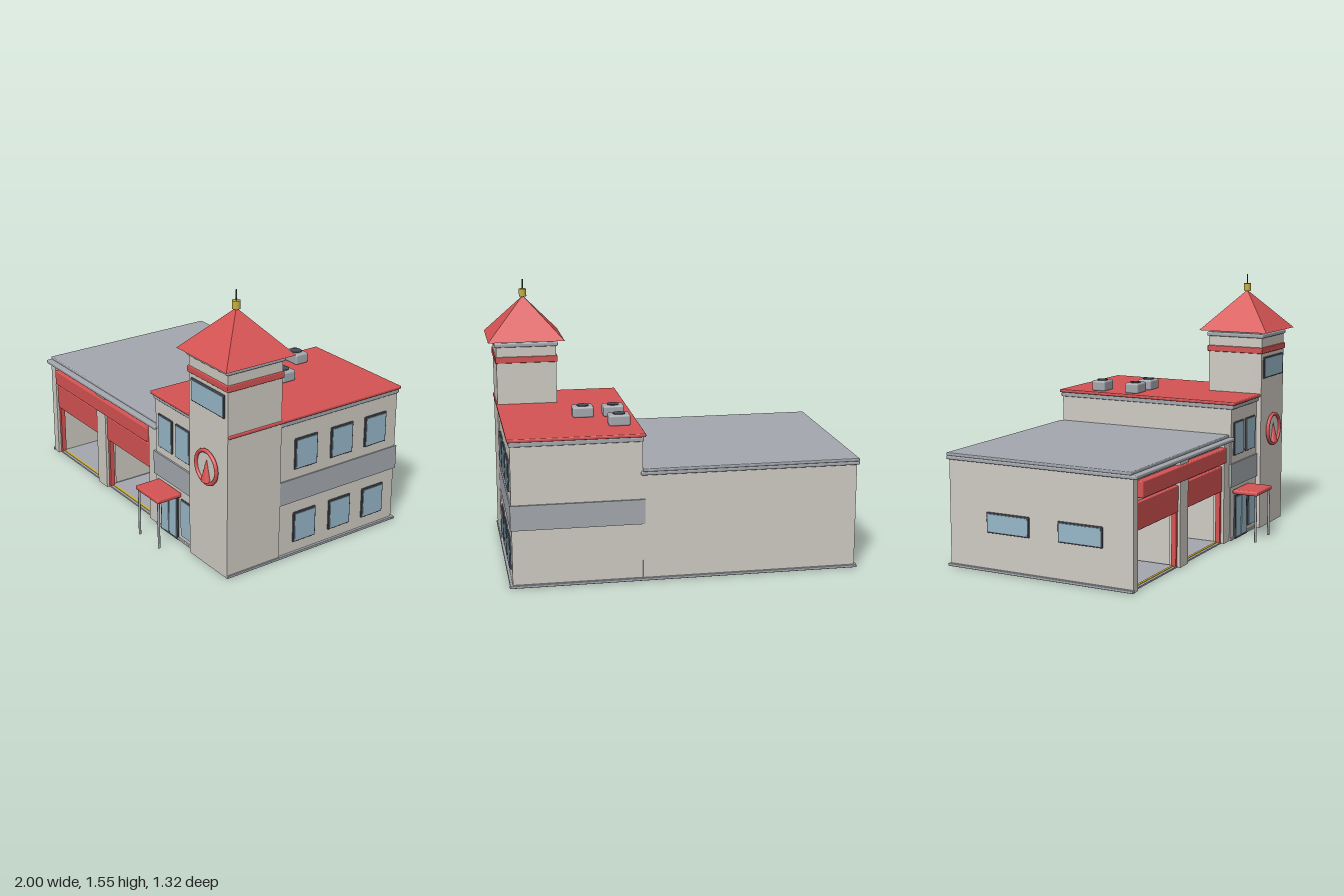
import * as THREE from 'three';
import { RoundedBoxGeometry } from 'three/addons/geometries/RoundedBoxGeometry.js';

const paint = (name, color) => {
  const m = new THREE.MeshStandardMaterial({ color });
  m.name = name;
  return m;
};

export function createModel() {
  const root = new THREE.Group();
  root.name = 'fireStation';
  const wall = paint('warm plaster', 0xd0ccc4);
  const red = paint('red', 0xd65353);
  const grey = paint('grey', 0xa5a9af);
  const glass = paint('glass', 0x98b9ca);
  const dark = paint('dark frame', 0x4b4e58);
  const gold = paint('gold', 0xc4ae45);
  const yellow = paint('floor yellow', 0xd8b428);

  const add = (name, geo, mat, x = 0, y = 0, z = 0, parent = root) => {
    const m = new THREE.Mesh(geo, mat);
    m.name = name;
    m.position.set(x, y, z);
    parent.add(m);
    return m;
  };
  // Box given by its bounds; a radius above zero softens the edges
  const box = (name, mat, x0, x1, y0, y1, z0, z1, r = 0, parent = root) => {
    const s = [x1 - x0, y1 - y0, z1 - z0];
    const geo = r ? new RoundedBoxGeometry(...s, 2, r) : new THREE.BoxGeometry(...s);
    return add(name, geo, mat, (x0 + x1) / 2, (y0 + y1) / 2, (z0 + z1) / 2, parent);
  };
  // Framed pane facing +z, turned by ry
  const windowAt = (name, x, y, z, w, h, ry = 0, rim = 0.009) => {
    const g = new THREE.Group();
    g.name = name;
    g.position.set(x, y, z);
    g.rotation.y = ry;
    box(name + 'Frame', dark, -w / 2, w / 2, -h / 2, h / 2, -0.01, 0.008, 0.004, g);
    box(name + 'Glass', glass, -w / 2 + rim, w / 2 - rim, -h / 2 + rim, h / 2 - rim, 0.004, 0.011, 0, g);
    root.add(g);
  };

  // Garage shell, open at the front
  box('garageLeftWall', wall, -0.985, -0.93, 0, 0.605, -0.645, 0.47);
  box('garageRightWall', wall, 0.15, 0.225, 0, 0.605, -0.645, 0.47);
  box('garageBackWall', wall, -0.985, 0.225, 0, 0.605, -0.648, -0.61);
  box('garagePartition', wall, -0.42, -0.36, 0, 0.605, -0.61, 0.47);
  box('garageLintel', wall, -0.985, 0.225, 0.44, 0.605, 0.42, 0.465);
  [[-0.985, -0.935], [-0.44, -0.34], [0.14, 0.225]].forEach(([a, b]) =>
    box('garagePillar', wall, a, b, 0, 0.605, 0.43, 0.495));
  box('garageCornice', grey, -1, 0.235, 0.602, 0.624, -0.66, 0.52, 0.007);
  box('garageRoof', grey, -0.997, 0.225, 0.622, 0.64, -0.66, 0.488, 0.005);
  box('signBoard', red, -0.91, 0.14, 0.488, 0.578, 0.465, 0.512, 0.006);

  // Two bays with raised doors, frames and floor markings
  [[-0.935, -0.44], [-0.34, 0.14]].forEach(([a, b]) => {
    box('rolledDoor', red, a, b, 0.315, 0.466, 0.44, 0.485, 0.006);
    box('doorJamb', red, a, a + 0.018, 0, 0.32, 0.45, 0.478);
    box('doorJamb', red, b - 0.018, b, 0, 0.32, 0.45, 0.478);
    box('bayFloor', grey, a, b, 0.001, 0.01, -0.615, 0.48);
    box('bayLine', yellow, a + 0.018, b - 0.018, 0.009, 0.013, 0.45, 0.464);
    box('bayLine', yellow, a + 0.018, b - 0.018, 0.009, 0.013, 0.03, 0.044);
  });

  // Garage base trim and side windows
  box('baseTrim', grey, -1, -0.98, 0, 0.016, -0.66, 0.5, 0.004);
  box('baseTrim', grey, -1, 0.96, 0, 0.016, -0.66, -0.64, 0.004);
  [-0.27, 0.18].forEach(z => windowAt('garageWindow', -0.985, 0.275, z, 0.27, 0.115, -Math.PI / 2));

  // Office block
  box('officeBlock', wall, 0.225, 0.942, 0, 0.8, -0.645, 0.5);
  box('officeBand', grey, 0.212, 0.949, 0.326, 0.466, -0.655, 0.51);
  box('officeCornice', grey, 0.218, 0.949, 0.79, 0.817, -0.655, 0.512, 0.007);
  box('officeRoof', red, 0.207, 0.957, 0.816, 0.835, -0.66, 0.525, 0.006);
  box('baseTrim', grey, 0.93, 0.957, 0, 0.016, -0.66, 0.53, 0.004);
  box('baseTrim', grey, 0.225, 0.61, 0, 0.016, 0.49, 0.508, 0.004);
  [0.005, -0.245, -0.488].forEach(z => [0.168, 0.611].forEach(y =>
    windowAt('sideWindow', 0.943, y, z, 0.155, 0.182, Math.PI / 2)));
  [0.327, 0.498].forEach(x => windowAt('upperWindow', x, 0.61, 0.5, 0.138, 0.2, 0, 0.006));
  windowAt('lowerWindow', 0.535, 0.155, 0.5, 0.115, 0.23, 0, 0.005);

  // Entrance doors under a canopy on two posts
  box('entranceFrame', dark, 0.277, 0.45, 0, 0.266, 0.495, 0.509);
  [[0.288, 0.359], [0.368, 0.439]].forEach(([a, b]) => {
    box('entranceGlass', glass, a, b, 0.012, 0.256, 0.506, 0.513);
  });
  box('canopy', red, 0.25, 0.48, 0.28, 0.306, 0.5, 0.66, 0.009);
  [0.267, 0.465].forEach(x =>
    add('canopyPost', new THREE.CylinderGeometry(0.007, 0.007, 0.285, 12), grey, x, 0.1425, 0.645));

  // Rooftop cooling units
  [[0.32, -0.415], [0.32, -0.185], [0.493, -0.185]].forEach(([x, z]) => {
    box('coolingUnit', grey, x - 0.06, x + 0.06, 0.832, 0.896, z - 0.045, z + 0.045, 0.012);
    add('coolingFan', new THREE.CylinderGeometry(0.034, 0.034, 0.008, 24), dark, x, 0.896, z);
  });

  // Tower
  const tx = 0.775, tz = 0.355;
  const square = (name, mat, half, y0, y1, r) =>
    box(name, mat, tx - half, tx + half, y0, y1, tz - half, tz + half, r);
  square('towerShaft', wall, 0.175, 0, 1.18, 0);
  square('towerBand', red, 0.183, 1.08, 1.117, 0.005);
  square('towerCap', grey, 0.186, 1.174, 1.2, 0.008);
  square('towerNeck', wall, 0.16, 1.19, 1.212, 0);
  const roof = new THREE.ConeGeometry(0.2225 * Math.SQRT2, 0.24, 4).toNonIndexed();
  roof.rotateY(Math.PI / 4);
  roof.computeVertexNormals();
  add('towerRoof', roof, red, tx, 1.33, tz);
  add('finial', new THREE.CylinderGeometry(0.022, 0.022, 0.045, 20), gold, tx, 1.468, tz);
  add('mast', new THREE.CylinderGeometry(0.004, 0.004, 0.08, 8), dark, tx, 1.508, tz);
  windowAt('towerWindow', tx, 0.992, 0.53, 0.3, 0.13);

  // Round emblem on the tower front
  const disc = add('emblemDisc', new THREE.CylinderGeometry(0.092, 0.092, 0.012, 40), wall, tx, 0.597, 0.534);
  disc.rotation.x = Math.PI / 2;
  add('emblemRing', new THREE.TorusGeometry(0.093, 0.011, 10, 48), red, tx, 0.597, 0.543);
  const flame = add('emblemFlame', new THREE.ConeGeometry(0.036, 0.13, 20), red, tx, 0.58, 0.54);
  flame.scale.z = 0.8;

  return root;
}
